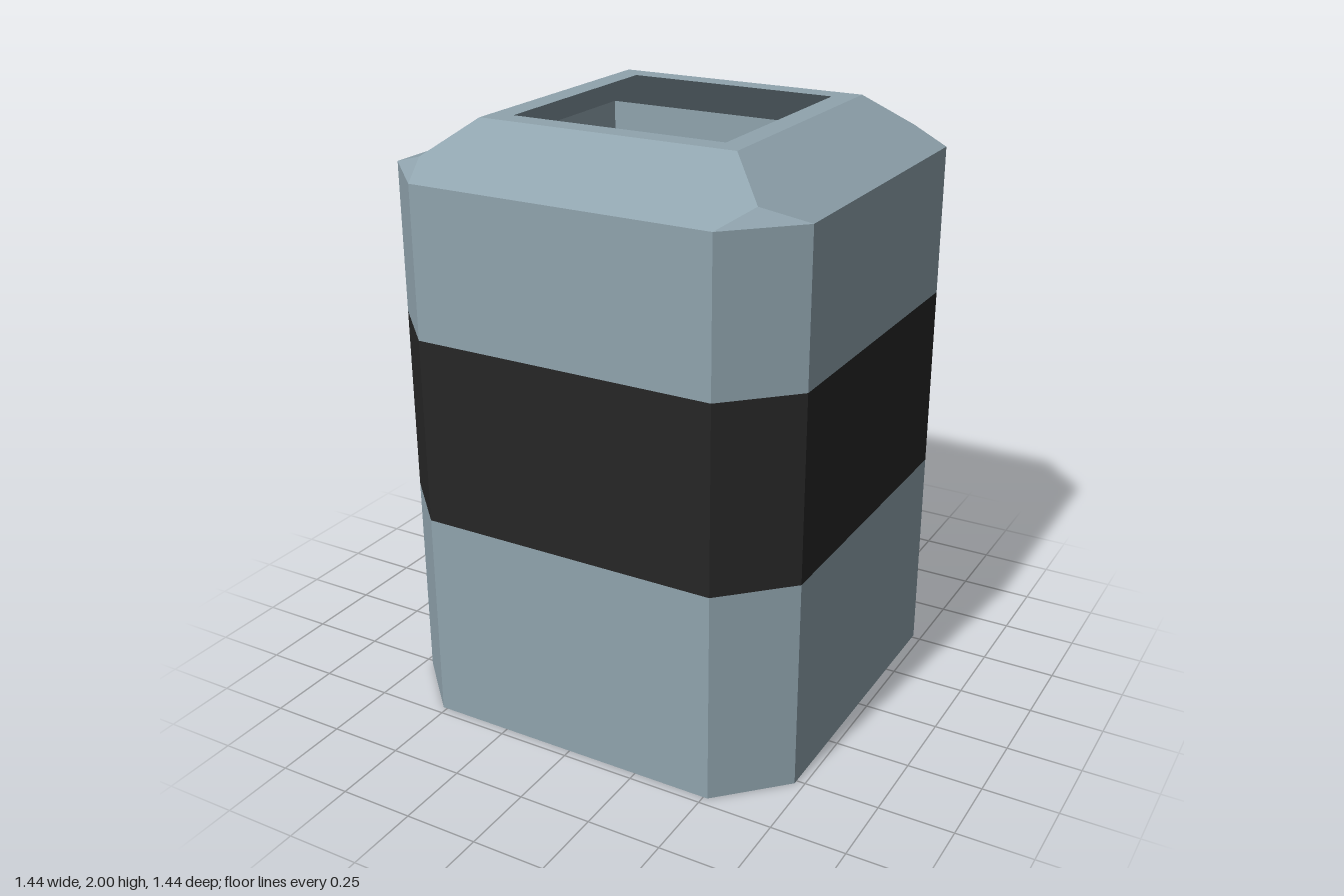
import * as THREE from 'three';

const W = 0.72, C = 0.515;              // octagon half width and corner start
const EAVE = 1.845, TOP = 2;            // shoulder and rim heights
const HOLE = 0.37, RIM = 0.445;         // opening and rim half widths
const IN = 0.6, FLOOR = 0.12;           // cavity half width and floor height

// Builds flat polygons, each repeated on the four sides by quarter turns.
function fourSided(polygons) {
  const pos = [], nor = [];
  for (let side = 0; side < 4; side++) {
    for (const poly of polygons) {
      const p = poly.map(([x, y, z]) =>
        new THREE.Vector3(x, y, z).applyAxisAngle(new THREE.Vector3(0, 1, 0), side * Math.PI / 2));
      // one averaged normal for the whole polygon
      const n = new THREE.Vector3();
      p.forEach((v, i) => n.add(v.clone().cross(p[(i + 1) % p.length])));
      n.normalize();
      const tri = (...ids) => ids.forEach(i => {
        pos.push(...p[i].toArray());
        nor.push(...n.toArray());
      });
      // zigzag triangulation
      let lo = 1, hi = p.length;
      let last = 0;
      while (hi - lo > 1) {
        tri(last, lo, lo + 1 < hi ? lo + 1 : hi - 1);
        lo++;
        if (hi - lo > 1) { tri(last, lo, hi - 1); last = --hi; }
      }
    }
  }
  const g = new THREE.BufferGeometry();
  g.setAttribute('position', new THREE.Float32BufferAttribute(pos, 3));
  g.setAttribute('normal', new THREE.Float32BufferAttribute(nor, 3));
  return g;
}

// A strip on the +x side running from (half width a, height ya) to (b, yb)
const strip = (a, ya, b, yb, ha = a, hb = b) =>
  [[a, ya, ha], [a, ya, -ha], [b, yb, -hb], [b, yb, hb]];

// One flat wall and one chamfered corner wall
const walls = (y0, y1) => [
  strip(W, y0, W, y1, C, C),
  [[W, y0, -C], [C, y0, -W], [C, y1, -W], [W, y1, -C]],
];

export function createModel() {
  const group = new THREE.Group();
  const shell = new THREE.MeshStandardMaterial({ color: 0x90a4ae });
  const dark = new THREE.MeshStandardMaterial({ color: 0x262626 });
  const add = (name, polygons, material) => {
    const mesh = new THREE.Mesh(fourSided(polygons), material);
    mesh.name = name;
    group.add(mesh);
  };

  // Octagonal body with a dark band around the middle
  add('lowerBody', walls(0, 0.72), shell);
  add('band', walls(0.72, 1.345), dark);
  add('upperBody', walls(1.345, EAVE), shell);
  add('base', [[[0, 0, 0], [C, 0, -W], [W, 0, -C], [W, 0, C]]], shell);

  // Sloped shoulders with small corner facets
  const k = 0.58, ky = 1.89;
  add('shoulder', [
    [[W, EAVE, C], [W, EAVE, -C], [k, ky, -k], [RIM, TOP, -RIM], [RIM, TOP, RIM], [k, ky, k]],
    [[W, EAVE, -C], [C, EAVE, -W], [k, ky, -k]],
  ], shell);

  // Flat rim around the square opening
  add('rim', [strip(RIM, TOP, HOLE, TOP)], shell);

  // Hollow inside: undercut lip, walls and floor
  add('cavity', [
    strip(HOLE, TOP, IN, EAVE),
    strip(IN, EAVE, IN, FLOOR),
    [[IN, FLOOR, IN], [IN, FLOOR, -IN], [0, FLOOR, 0]],
  ], shell);

  return group;
}
